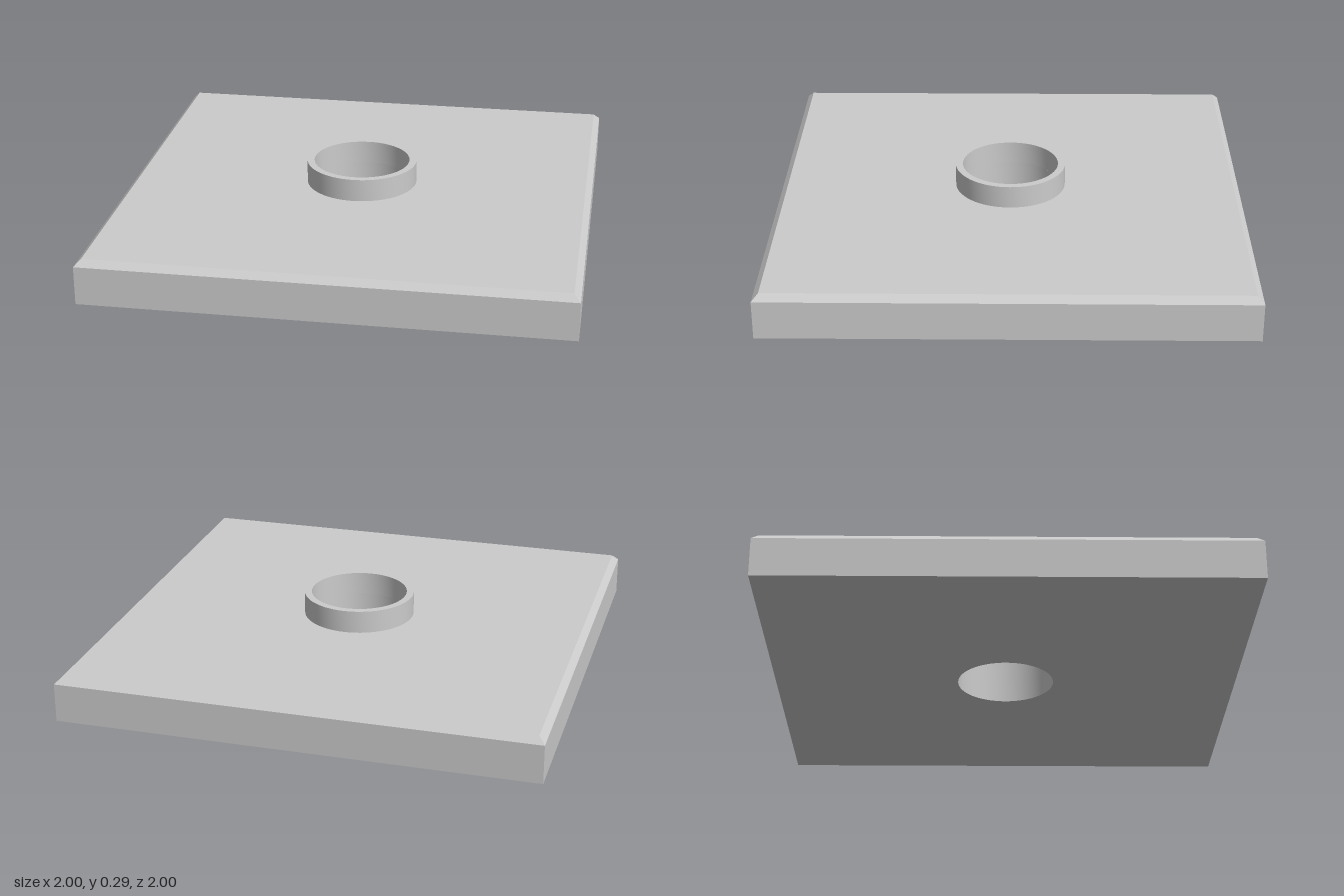
import * as THREE from 'three';
import { toCreasedNormals } from 'three/addons/utils/BufferGeometryUtils.js';

const HALF = 1, CHAMFER = 0.027, PLATE_TOP = 0.19, COLLAR_TOP = 0.287;
const BORE = 0.207, COLLAR = 0.238, SEGMENTS = 64, CREASE = 0.5;

const material = new THREE.MeshStandardMaterial({ color: 0xcccccc });

function part(name, geometry) {
  const mesh = new THREE.Mesh(toCreasedNormals(geometry, CREASE), material);
  mesh.name = name;
  return mesh;
}

// Square plate with a round bore and a chamfered upper rim
function plateGeometry() {
  const shape = new THREE.Shape([
    new THREE.Vector2(-HALF, -HALF), new THREE.Vector2(HALF, -HALF),
    new THREE.Vector2(HALF, HALF), new THREE.Vector2(-HALF, HALF),
  ]);
  shape.holes.push(new THREE.Path().absarc(0, 0, BORE, 0, Math.PI * 2, true));
  const geometry = new THREE.ExtrudeGeometry(shape, {
    depth: PLATE_TOP, steps: 2, bevelEnabled: false, curveSegments: SEGMENTS / 2,
  });
  // Raise the middle ring to the chamfer edge and pull the top outline inwards
  const p = geometry.attributes.position;
  const inset = (v) => (Math.abs(v) > 0.9 ? Math.sign(v) * (HALF - CHAMFER) : v);
  for (let i = 0; i < p.count; i++) {
    const z = p.getZ(i);
    if (z > PLATE_TOP * 0.9) p.setXY(i, inset(p.getX(i)), inset(p.getY(i)));
    else if (z > PLATE_TOP * 0.1) p.setZ(i, PLATE_TOP - CHAMFER);
  }
  return geometry.rotateX(-Math.PI / 2);
}

// Thin raised ring around the bore
function collarGeometry() {
  const profile = [
    [COLLAR, PLATE_TOP], [COLLAR, COLLAR_TOP], [BORE, COLLAR_TOP], [BORE, PLATE_TOP],
  ].map(([r, y]) => new THREE.Vector2(r, y));
  return new THREE.LatheGeometry(profile, SEGMENTS);
}

export function createModel() {
  const model = new THREE.Group();
  model.name = 'collaredPlate';
  model.add(part('plate', plateGeometry()), part('collar', collarGeometry()));
  return model;
}
